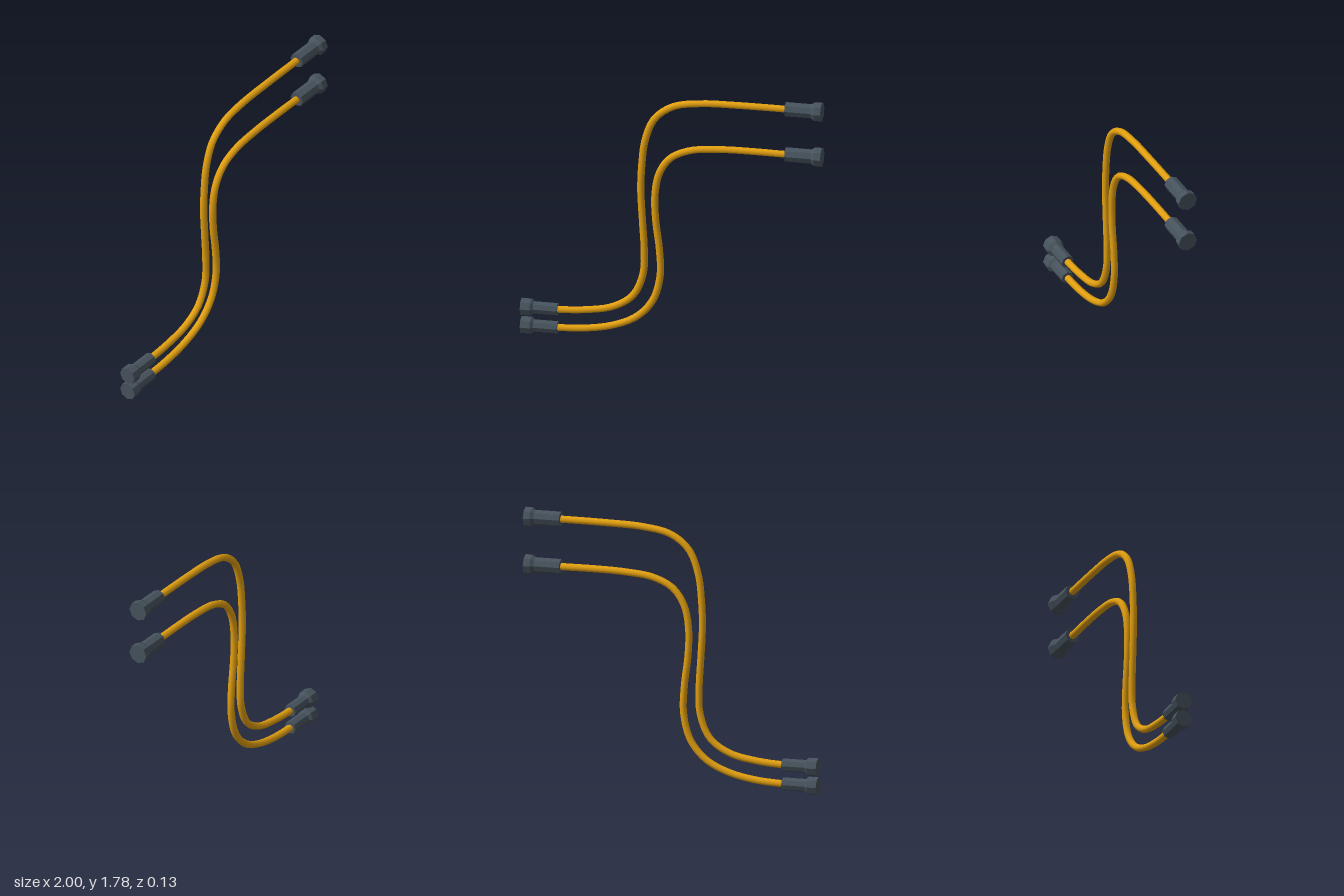
import * as THREE from 'three';

const hoseMaterial = new THREE.MeshStandardMaterial({ color: 0xe3a010 });
hoseMaterial.name = 'amber hose';
const fittingMaterial = new THREE.MeshStandardMaterial({ color: 0x46525c, flatShading: true });
fittingMaterial.name = 'slate fitting';

// Hose centre lines in the x-y plane, from lower right-hand end to upper left-hand end
const upperPath = [
  [-0.8, 0.19], [-0.73, 0.191], [-0.58, 0.203], [-0.393, 0.242], [-0.26, 0.33], [-0.192, 0.485],
  [-0.184, 0.647], [-0.196, 0.86], [-0.207, 1.075], [-0.2, 1.25], [-0.178, 1.42], [-0.115, 1.575],
  [0.01, 1.67], [0.195, 1.706], [0.436, 1.715], [0.73, 1.717], [0.8, 1.717],
];
const lowerPath = [
  [-0.8, 0.064], [-0.73, 0.065], [-0.58, 0.075], [-0.393, 0.112], [-0.233, 0.187], [-0.126, 0.31],
  [-0.078, 0.487], [-0.084, 0.674], [-0.107, 0.86], [-0.113, 1.04], [-0.083, 1.2], [-0.008, 1.31],
  [0.126, 1.374], [0.33, 1.398], [0.543, 1.403], [0.73, 1.402], [0.8, 1.402],
];

function hose(name, path) {
  const curve = new THREE.CatmullRomCurve3(path.map(([x, y]) => new THREE.Vector3(x, y, 0)));
  const mesh = new THREE.Mesh(new THREE.TubeGeometry(curve, 64, 0.024, 8), hoseMaterial);
  mesh.name = name;
  return mesh;
}

// Eight-sided crimped sleeve flaring into a nut; side is +1 or -1 along x
function fitting(name, side, y, sleeveR, nutR, flareStart, nutStart) {
  const start = 0.758;
  const profile = [
    [0, start], [sleeveR, start], [sleeveR, flareStart], [nutR, nutStart], [nutR, 1], [0, 1],
  ].map(([r, h]) => new THREE.Vector2(r, h));
  const geometry = new THREE.LatheGeometry(profile, 8);
  geometry.rotateZ(-side * Math.PI / 2);
  const mesh = new THREE.Mesh(geometry, fittingMaterial);
  mesh.name = name;
  mesh.position.y = y;
  return mesh;
}

export function createModel() {
  const model = new THREE.Group();
  model.name = 'hosePair';
  for (const [label, path] of [['upper', upperPath], ['lower', lowerPath]]) {
    const pair = new THREE.Group();
    pair.name = label + 'HoseAssembly';
    pair.add(
      hose(label + 'Hose', path),
      fitting(label + 'RightFitting', -1, path[0][1], 0.043, 0.06, 0.917, 0.935),
      fitting(label + 'LeftFitting', 1, path[path.length - 1][1], 0.05, 0.066, 0.932, 0.955),
    );
    model.add(pair);
  }
  return model;
}
